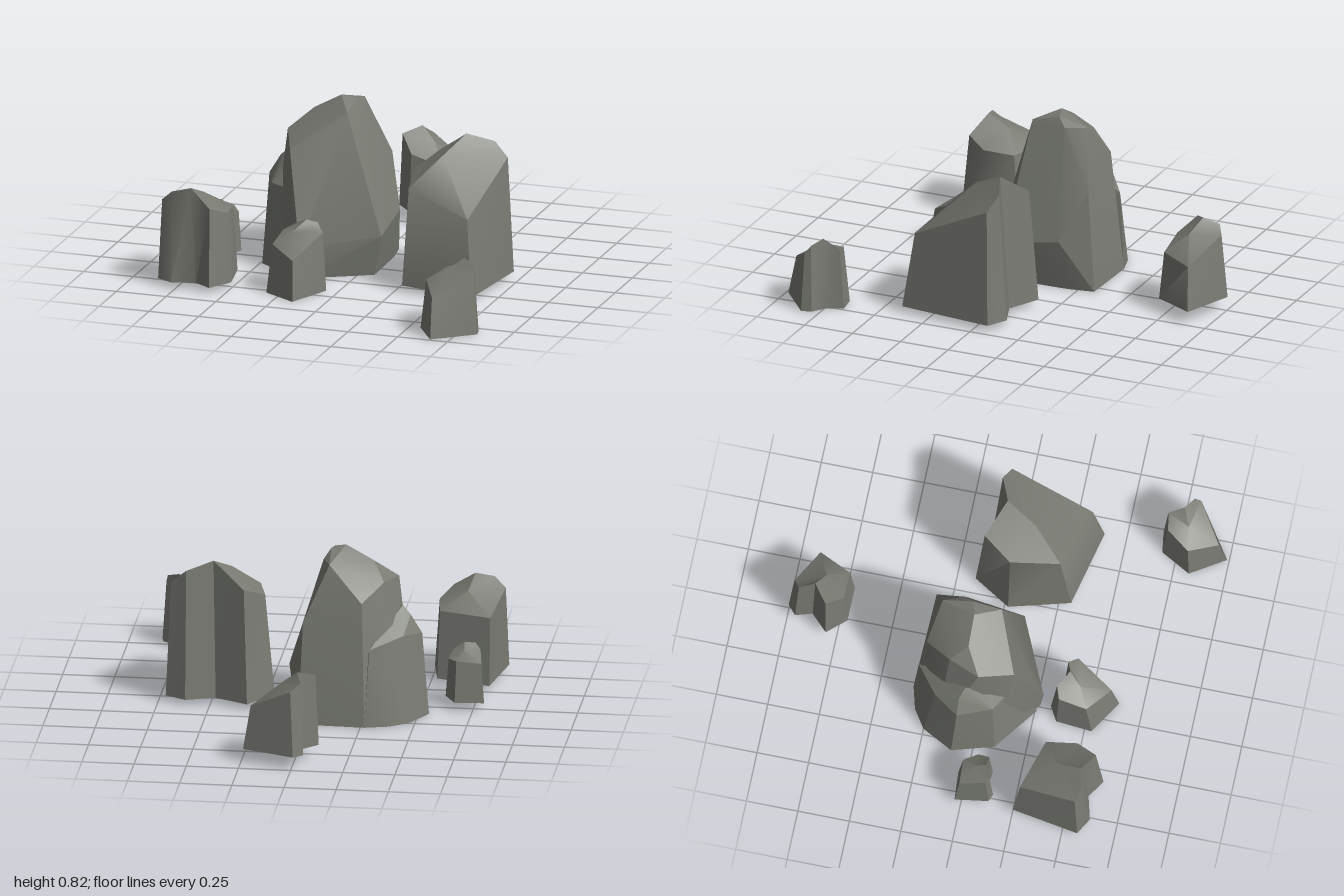
import * as THREE from 'three';
import { toCreasedNormals } from 'three/addons/utils/BufferGeometryUtils.js';
import { ConvexGeometry } from 'three/addons/geometries/ConvexGeometry.js';

const stone = new THREE.MeshStandardMaterial({ color: 0x7a7c74 });
stone.name = 'stone grey';

// Tapered pillar rock: corners are [baseX, baseZ, topX, topY, topZ], the top fans out from a peak.
function pillarRock(name, baseY, corners, peak) {
  const n = corners.length;
  let area = 0;
  corners.forEach((a, i) => {
    const b = corners[(i + 1) % n];
    area += a[0] * b[1] - b[0] * a[1];
  });
  const ring = area > 0 ? [...corners].reverse() : corners;
  const base = ring.map((c) => [c[0], baseY, c[1]]);
  const top = ring.map((c) => [c[2], c[3], c[4]]);
  const pos = [];
  const tri = (a, b, c) => pos.push(...a, ...b, ...c);
  for (let i = 0; i < n; i++) {
    const j = (i + 1) % n;
    tri(base[i], base[j], top[j]);
    tri(base[i], top[j], top[i]);
    tri(peak, top[i], top[j]);
  }
  // underside
  const outline = base.map((p) => new THREE.Vector2(p[0], p[2]));
  for (const [a, b, c] of THREE.ShapeUtils.triangulateShape(outline, [])) {
    const faceDown = THREE.ShapeUtils.area([outline[a], outline[b], outline[c]]) > 0;
    if (faceDown) tri(base[a], base[b], base[c]);
    else tri(base[a], base[c], base[b]);
  }
  const geo = new THREE.BufferGeometry();
  geo.setAttribute('position', new THREE.Float32BufferAttribute(pos, 3));
  return makeMesh(name, geo, 0.75);
}

// Boulder wrapped around a handful of corner points.
function boulder(name, points) {
  return makeMesh(name, new ConvexGeometry(points.map((p) => new THREE.Vector3(...p))), 0.35);
}

function makeMesh(name, geo, crease) {
  const mesh = new THREE.Mesh(toCreasedNormals(geo, crease), stone);
  mesh.name = name;
  return mesh;
}

export function createModel() {
  const group = new THREE.Group();
  group.name = 'rockCluster';

  group.add(
    boulder('mainBoulder', [
      // foot
      [-0.27, 0, -0.34], [0.05, 0, -0.33], [0.07, 0, -0.2], [0.075, 0, 0.1],
      [-0.07, 0, 0.18], [-0.24, 0, 0.27], [-0.45, 0, 0.1], [-0.48, 0, -0.2],
      // shoulders
      [0.115, 0.2, 0.12], [0.11, 0.25, -0.17], [-0.24, 0.15, 0.285],
      [0.03, 0.5, -0.29], [-0.25, 0.6, -0.28], [-0.33, 0.6, 0.16], [-0.395, 0.655, 0],
      // crown
      [-0.08, 0.775, 0.05], [-0.15, 0.825, -0.07], [-0.08, 0.81, -0.09],
      [-0.285, 0.75, -0.07], [-0.34, 0.67, -0.15], [-0.09, 0.775, -0.235], [-0.05, 0.77, -0.13],
    ]),
    boulder('sideBoulder', [
      [-0.55, 0, -0.1], [-0.49, 0, 0.1], [-0.27, 0, 0.26], [-0.2, 0, 0],
      [-0.27, 0, -0.34], [-0.38, 0, -0.31], [-0.47, 0, -0.25],
      [-0.515, 0.4, -0.08], [-0.46, 0.49, -0.08], [-0.42, 0.53, -0.06],
      [-0.36, 0.51, 0.03], [-0.45, 0.4, 0.08], [-0.3, 0.4, 0.17],
      [-0.44, 0.42, -0.2], [-0.29, 0.38, -0.31],
    ]),

    pillarRock('tallPillar', 0.03, [
      [0.205, 0.02, 0.25, 0.525, 0.02], [0.315, -0.16, 0.335, 0.59, -0.12],
      [0.475, -0.08, 0.49, 0.705, -0.04], [0.615, -0.13, 0.615, 0.665, -0.09],
      [0.715, -0.075, 0.69, 0.6, -0.06], [0.66, 0.395, 0.625, 0.4, 0.345],
      [0.285, 0.31, 0.3, 0.5, 0.255],
    ], [0.42, 0.63, 0.11]),

    pillarRock('rightPillar', 0.03, [
      [-0.795, 0.25, -0.795, 0.36, 0.285], [-0.535, 0.33, -0.545, 0.36, 0.36],
      [-0.5, 0.525, -0.525, 0.37, 0.51], [-0.57, 0.645, -0.58, 0.41, 0.61],
      [-0.655, 0.59, -0.69, 0.49, 0.56], [-0.77, 0.62, -0.78, 0.47, 0.58],
      [-0.85, 0.575, -0.835, 0.42, 0.56],
    ], [-0.67, 0.44, 0.44]),

    pillarRock('smallPillar', 0.04, [
      [-0.805, -0.03, -0.79, 0.23, -0.01], [-0.665, -0.04, -0.67, 0.24, -0.015],
      [-0.61, 0.055, -0.625, 0.23, 0.05], [-0.63, 0.12, -0.64, 0.26, 0.105],
      [-0.695, 0.115, -0.695, 0.3, 0.1], [-0.745, 0.145, -0.745, 0.29, 0.125],
      [-0.78, 0.13, -0.77, 0.26, 0.115],
    ], [-0.7, 0.275, 0.05]),

    pillarRock('frontPillar', 0, [
      [-0.235, 0.32, -0.235, 0.3, 0.35], [-0.175, 0.38, -0.165, 0.34, 0.4],
      [-0.12, 0.36, -0.115, 0.325, 0.38], [-0.06, 0.415, -0.075, 0.29, 0.42],
      [-0.155, 0.635, -0.165, 0.19, 0.6], [-0.32, 0.535, -0.3, 0.235, 0.505],
      [-0.305, 0.36, -0.29, 0.27, 0.37],
    ], [-0.215, 0.29, 0.46]),

    pillarRock('cornerPillar', 0, [
      [0.735, 0.665, 0.73, 0.3, 0.69], [0.77, 0.745, 0.755, 0.35, 0.765],
      [0.835, 0.79, 0.815, 0.33, 0.8], [0.845, 0.84, 0.825, 0.29, 0.83],
      [0.66, 0.99, 0.655, 0.195, 0.95], [0.555, 0.825, 0.58, 0.24, 0.815],
      [0.635, 0.68, 0.65, 0.28, 0.705],
    ], [0.68, 0.295, 0.8]),

    pillarRock('backPillar', 0.065, [
      [-0.01, -1, 0.005, 0.385, -0.975], [0.24, -0.905, 0.205, 0.28, -0.89],
      [0.14, -0.71, 0.125, 0.3, -0.73], [-0.03, -0.71, -0.025, 0.345, -0.73],
      [-0.11, -0.8, -0.095, 0.42, -0.805], [-0.03, -0.88, -0.015, 0.45, -0.87],
      [-0.055, -0.96, -0.04, 0.42, -0.945],
    ], [0.06, 0.385, -0.83]),
  );
  return group;
}
